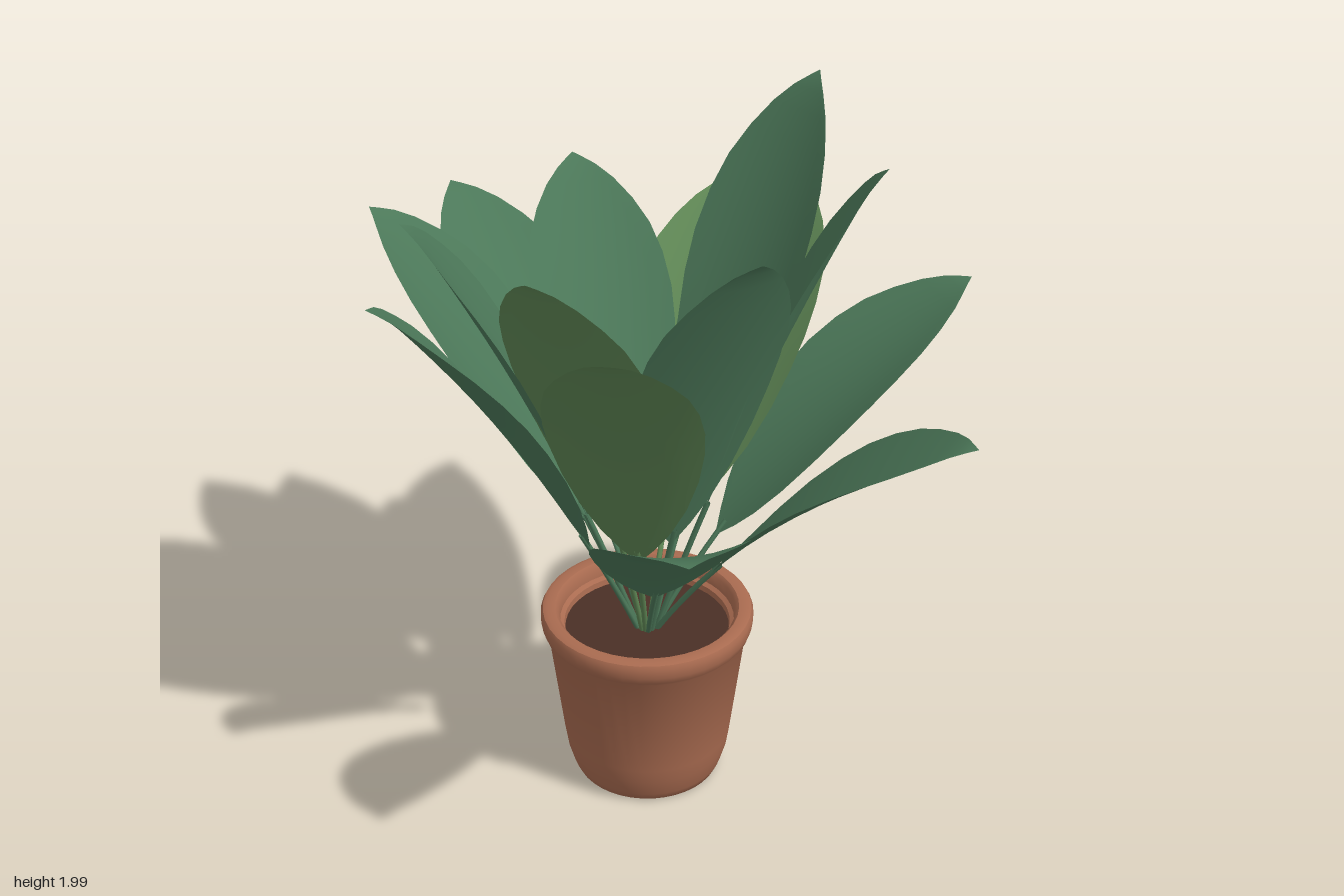
import * as THREE from 'three';
import { toCreasedNormals } from 'three/addons/utils/BufferGeometryUtils.js';

const terracotta = new THREE.MeshStandardMaterial({ color: 0xa96b50 });
const soilBrown = new THREE.MeshStandardMaterial({ color: 0x4a3026 });
const deepGreen = new THREE.MeshStandardMaterial({ color: 0x4c7859, side: THREE.DoubleSide });
const freshGreen = new THREE.MeshStandardMaterial({ color: 0x5f8755, side: THREE.DoubleSide });

const CX = -0.066, CZ = 0.016; // pot axis
const BLADE_START = 0.25; // share of each leaf spine that is bare stem
const HALF_WIDTH = 0.205;

// Leaf tips: x, y, z, fresh green or not
const TIPS = [
  [0.02, 1.52, -0.94], [-0.43, 1.66, -0.69], [0.28, 1.61, -0.70],
  [0.745, 1.475, -0.505, true], [0.705, 1.56, -0.16, true], [0.84, 1.42, 0.345],
  [0.545, 2.0, 0.01], [0.305, 1.95, 0.495], [0.22, 1.37, 0.935],
  [-0.225, 1.9, 0.605], [-0.62, 1.32, 0.8], [-0.65, 1.76, 0.54, true],
  [-0.635, 1.85, 0.245, true], [-0.84, 1.71, -0.125], [-0.6, 1.8, -0.3],
];

// Blade outline: distance along the blade, share of the half width
const OUTLINE = [
  [0, 0.05], [0.05, 0.24], [0.12, 0.46], [0.22, 0.69], [0.34, 0.87], [0.46, 0.97], [0.56, 1],
  [0.66, 0.96], [0.75, 0.86], [0.83, 0.69], [0.9, 0.48], [0.95, 0.27], [0.98, 0.11], [1, 0],
];

// Arched spine from the soil to the leaf tip
function leafSpine(x, y, z) {
  const out = new THREE.Vector3(x - CX, 0, z - CZ);
  const reach = out.length();
  out.normalize();
  const at = (r, h) => new THREE.Vector3(CX + out.x * r, h, CZ + out.z * r);
  const y0 = 0.46, bend = 0.04 + 0.08 * THREE.MathUtils.clamp((2 - y) / 0.65, 0, 1);
  const curve = new THREE.QuadraticBezierCurve3(
    at(0.025, y0), at(reach * (0.5 - bend), y0 + (y - y0) * (0.5 + bend)), at(reach, y));
  return { curve, out };
}

// Cupped blade with a small drooping point
function bladeGeometry({ curve, out }) {
  const across = new THREE.Vector3(out.z, 0, -out.x);
  const columns = 8, positions = [], index = [];
  OUTLINE.forEach(([s, w], row) => {
    const t = BLADE_START + (1 - BLADE_START) * s;
    const centre = curve.getPoint(t);
    const up = new THREE.Vector3().crossVectors(curve.getTangent(t), across).normalize();
    const droop = 0.018 * Math.max(0, (s - 0.92) / 0.08) ** 2;
    for (let c = 0; c <= columns; c++) {
      const u = (c / columns) * 2 - 1;
      const p = centre.clone()
        .addScaledVector(across, u * w * HALF_WIDTH)
        .addScaledVector(up, 0.04 * (u * w) ** 2 - droop);
      positions.push(p.x, p.y, p.z);
      if (row && c) {
        const d = row * (columns + 1) + c, b = d - columns - 1;
        index.push(b - 1, b, d, b - 1, d, d - 1);
      }
    }
  });
  const geometry = new THREE.BufferGeometry();
  geometry.setAttribute('position', new THREE.Float32BufferAttribute(positions, 3));
  geometry.setIndex(index);
  geometry.computeVertexNormals();
  return geometry;
}

// Thin stem along the lower spine
function stemGeometry({ curve }) {
  const points = [0, 0.25, 0.5, 0.75, 1].map((k) => curve.getPoint(k * (BLADE_START + 0.03)));
  return new THREE.TubeGeometry(new THREE.CatmullRomCurve3(points), 8, 0.008, 6);
}

function add(parent, name, geometry, material) {
  const mesh = new THREE.Mesh(geometry, material);
  mesh.name = name;
  parent.add(mesh);
  return mesh;
}

export function createModel() {
  const model = new THREE.Group();
  model.name = 'pottedPlant';

  // Pot with a rounded rim and a chamfered foot
  const profile = [
    [0, 0], [0.195, 0], [0.207, 0.006], [0.218, 0.03], [0.234, 0.085], [0.241, 0.13], [0.283, 0.465],
    [0.296, 0.48], [0.302, 0.5], [0.303, 0.528], [0.297, 0.54], [0.285, 0.545], [0.262, 0.543],
    [0.252, 0.532], [0.248, 0.5], [0.236, 0.492], [0.23, 0.45],
  ].map(([r, y]) => new THREE.Vector2(r, y));
  const potGeometry = toCreasedNormals(new THREE.LatheGeometry(profile, 40), 0.7);
  add(model, 'pot', potGeometry, terracotta).position.set(CX, 0, CZ);

  // Soil surface
  const soil = add(model, 'soil', new THREE.CircleGeometry(0.238, 40), soilBrown);
  soil.rotation.x = -Math.PI / 2;
  soil.position.set(CX, 0.475, CZ);

  // Leaves
  for (const [x, y, z, fresh] of TIPS) {
    const leaf = new THREE.Group();
    leaf.name = 'leaf';
    const spine = leafSpine(x, y, z);
    const material = fresh ? freshGreen : deepGreen;
    add(leaf, 'blade', bladeGeometry(spine), material);
    add(leaf, 'stem', stemGeometry(spine), material);
    model.add(leaf);
  }
  return model;
}
